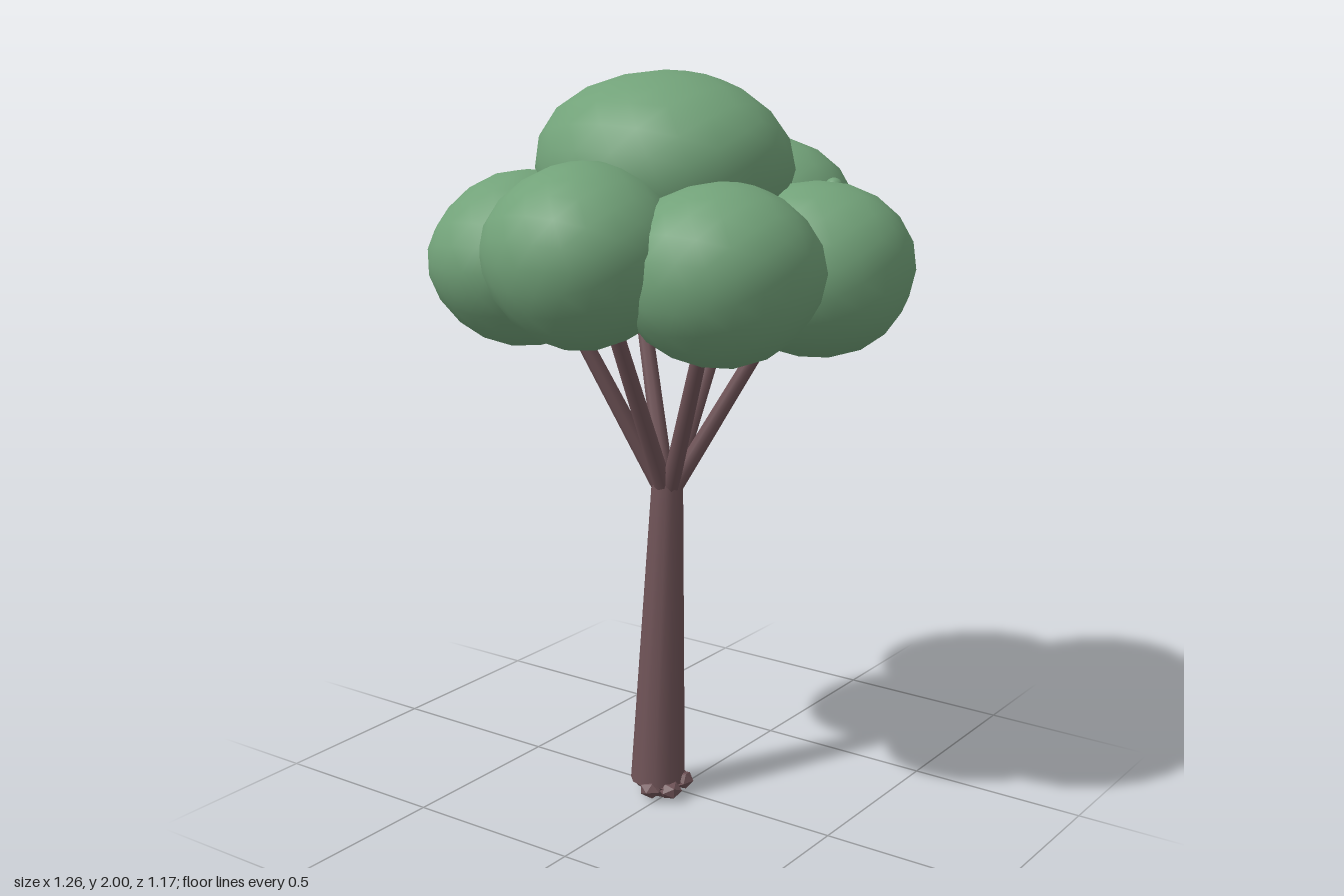
import * as THREE from 'three';
import { mergeVertices } from 'three/addons/utils/BufferGeometryUtils.js';

const leaf = new THREE.MeshStandardMaterial({ color: 0x72a279 });
leaf.name = 'leaf green';
const bark = new THREE.MeshStandardMaterial({ color: 0x6f5357 });
bark.name = 'bark brown';

// Smooth, slightly uneven ball fitted to centre c and radii r
function foliageBall(c, r, seed) {
  const geo = new THREE.IcosahedronGeometry(1, 3);
  geo.deleteAttribute('normal');
  geo.deleteAttribute('uv');
  const ball = mergeVertices(geo);
  const p = ball.attributes.position;
  const v = new THREE.Vector3();
  for (let i = 0; i < p.count; i++) {
    v.fromBufferAttribute(p, i);
    const lump = 1 + 0.02 * Math.sin(3 * v.x + seed) * Math.cos(3 * v.z + 2 * seed)
      + 0.015 * Math.sin(4 * v.y + 3 * seed + 2 * v.x);
    v.multiplyScalar(lump);
    p.setXYZ(i, c[0] + v.x * r[0], c[1] + v.y * r[1], c[2] + v.z * r[2]);
  }
  ball.computeVertexNormals();
  return ball;
}

// Tapered limb between two points
function limb(a, b, ra, rb, sides, name) {
  const from = new THREE.Vector3(...a), to = new THREE.Vector3(...b);
  const dir = to.clone().sub(from);
  const mesh = new THREE.Mesh(new THREE.CylinderGeometry(rb, ra, dir.length(), sides), bark);
  mesh.position.copy(from).add(to).multiplyScalar(0.5);
  mesh.quaternion.setFromUnitVectors(new THREE.Vector3(0, 1, 0), dir.normalize());
  mesh.name = name;
  return mesh;
}

export function createModel() {
  const tree = new THREE.Group();
  tree.name = 'tree';

  // Crown: centre and radii of each ball, the top one first
  const balls = [
    [[0.01, 1.745, -0.04], [0.33, 0.255, 0.345]],
    [[0.37, 1.58, 0.02], [0.26, 0.23, 0.27]],
    [[0.23, 1.535, -0.325], [0.26, 0.225, 0.265]],
    [[-0.21, 1.51, -0.32], [0.27, 0.23, 0.26]],
    [[-0.37, 1.565, -0.015], [0.26, 0.235, 0.255]],
    [[-0.19, 1.525, 0.27], [0.27, 0.23, 0.26]],
    [[0.17, 1.495, 0.325], [0.25, 0.228, 0.26]],
  ];
  balls.forEach(([c, r], i) => {
    const mesh = new THREE.Mesh(foliageBall(c, r, i * 1.7), leaf);
    mesh.name = i ? 'foliage' : 'topFoliage';
    tree.add(mesh);
  });

  // Little buds poking out of the leaves
  const buds = [[0.07, 1.665, -0.47, 0.03], [0.52, 1.42, -0.15, 0.035], [0.23, 1.70, 0.34, 0.025]];
  for (const [x, y, z, r] of buds) {
    const bud = new THREE.Mesh(foliageBall([x, y, z], [r, r, r], 1), leaf);
    bud.name = 'bud';
    tree.add(bud);
  }

  // Trunk leaning slightly, with a branch into each outer ball
  tree.add(limb([-0.036, 0.04, -0.035], [0.006, 0.92, -0.03], 0.076, 0.042, 12, 'trunk'));
  for (const [c] of balls.slice(1)) {
    const len = Math.hypot(c[0], c[2]);
    const start = [0.006 + 0.015 * c[0] / len, 0.88, -0.03 + 0.015 * c[2] / len];
    tree.add(limb(start, [c[0] * 0.85, c[1] - 0.06, c[2] * 0.85], 0.025, 0.019, 8, 'branch'));
  }

  // Faceted root lumps round the foot
  for (let i = 0; i < 6; i++) {
    const a = (i / 6) * Math.PI * 2;
    const geo = new THREE.DodecahedronGeometry(0.034).toNonIndexed ?
      new THREE.IcosahedronGeometry(0.034, 0) : null;
    const root = new THREE.Mesh(geo, bark);
    geo.computeVertexNormals();
    root.scale.y = 0.75;
    root.position.set(-0.036 + 0.058 * Math.cos(a), 0.036 + 0.006 * Math.sin(i * 2), -0.016 + 0.05 * Math.sin(a));
    root.rotation.y = i * 1.3;
    root.name = 'root';
    tree.add(root);
  }
  const foot = new THREE.Mesh(new THREE.CylinderGeometry(0.07, 0.035, 0.04, 7), bark);
  foot.position.set(-0.036, 0.022, -0.02);
  foot.name = 'foot';
  tree.add(foot);

  return tree;
}
